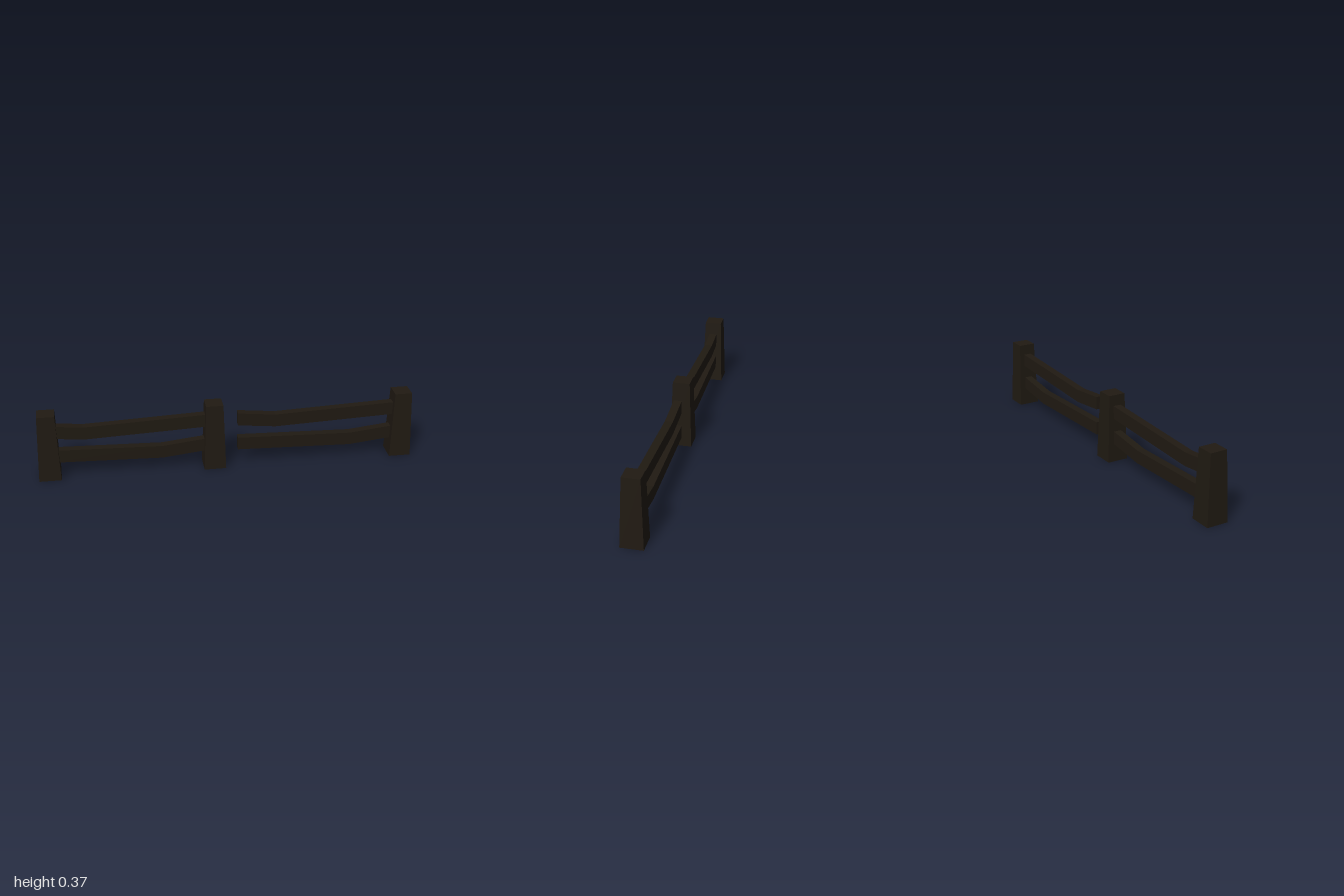
import * as THREE from 'three';

const wood = new THREE.MeshStandardMaterial({ color: 0x201a12, flatShading: true, side: THREE.DoubleSide });

const HEIGHT = 0.365, BASE = 0.116, TOP = 0.091;

// Tapered square post, open underneath
function postGeometry() {
  const g = new THREE.BoxGeometry(BASE, HEIGHT, BASE);
  g.translate(0, HEIGHT / 2, 0);
  const p = g.attributes.position;
  for (let i = 0; i < p.count; i++) {
    if (p.getY(i) > HEIGHT / 2) {
      p.setX(i, p.getX(i) * TOP / BASE);
      p.setZ(i, p.getZ(i) * TOP / BASE);
    }
  }
  const index = Array.from(g.index.array);
  index.splice(18, 6); // bottom face
  g.setIndex(index);
  g.clearGroups();
  g.computeVertexNormals();
  return g;
}

// Bent rail: [x, y] points along its lower edge, constant height
function railGeometry(points) {
  const height = 0.07, depth = 0.042;
  const lower = points.map(([x, y]) => new THREE.Vector2(x, y));
  const upper = points.map(([x, y]) => new THREE.Vector2(x, y + height)).reverse();
  const g = new THREE.ExtrudeGeometry(new THREE.Shape([...lower, ...upper]), { depth, bevelEnabled: false });
  g.translate(0, 0, -depth / 2);
  return g;
}

export function createModel() {
  const fence = new THREE.Group();
  fence.name = 'fence';

  const add = (geometry, name, x) => {
    const mesh = new THREE.Mesh(geometry, wood);
    mesh.name = name;
    mesh.position.x = x;
    fence.add(mesh);
  };

  // Three posts
  const post = postGeometry();
  [['rightPost', -0.942], ['middlePost', -0.072], ['leftPost', 0.942]].forEach(([name, x]) => add(post, name, x));

  // Two identical pairs of rails, the left pair with free inner ends
  const upperRail = railGeometry([[0.055, 0.232], [0.255, 0.211], [0.94, 0.239]]);
  const lowerRail = railGeometry([[0.055, 0.088], [0.665, 0.071], [0.94, 0.102]]);
  [['left', 0], ['right', -1.012]].forEach(([side, x]) => {
    add(upperRail, side + 'UpperRail', x);
    add(lowerRail, side + 'LowerRail', x);
  });

  return fence;
}
